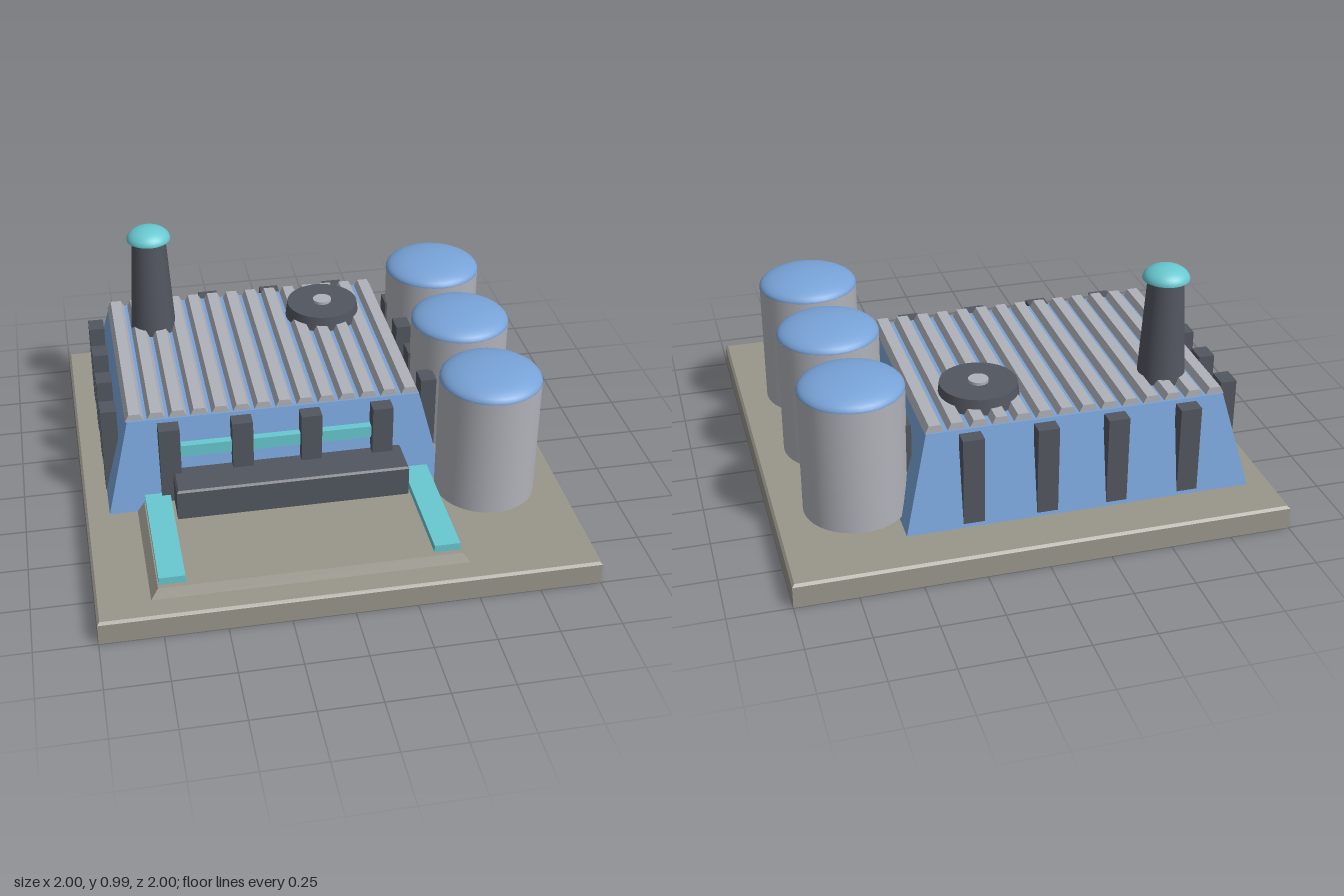
import * as THREE from 'three';

const mat = (name, color) => {
  const m = new THREE.MeshStandardMaterial({ color });
  m.name = name;
  return m;
};

// Block whose top face may differ from its bottom face: ranges are [x0, x1, z0, z1]
function taperedBlock(bottom, top, y0, y1) {
  const g = new THREE.BoxGeometry(1, 1, 1);
  const p = g.attributes.position;
  for (let i = 0; i < p.count; i++) {
    const up = p.getY(i) > 0;
    const r = up ? top : bottom;
    p.setXYZ(i, p.getX(i) > 0 ? r[1] : r[0], up ? y1 : y0, p.getZ(i) > 0 ? r[3] : r[2]);
  }
  g.computeVertexNormals();
  return g;
}

const block = (x0, x1, y0, y1, z0, z1) => taperedBlock([x0, x1, z0, z1], [x0, x1, z0, z1], y0, y1);

export function createModel() {
  const model = new THREE.Group();
  model.name = 'factory';
  const stone = mat('stone', 0x99968b);
  const blue = mat('blue', 0x78a3d8);
  const steel = mat('light steel', 0xb0b2b9);
  const dark = mat('dark steel', 0x52565f);
  const teal = mat('teal', 0x68c8d0);

  const add = (name, geometry, material, x = 0, y = 0, z = 0) => {
    const m = new THREE.Mesh(geometry, material);
    m.name = name;
    m.position.set(x, y, z);
    model.add(m);
    return m;
  };

  // Ground slab with a small chamfer on its upper rim
  add('baseSlab', block(-1, 1, 0, 0.09, -1, 1), stone);
  add('baseRim', taperedBlock([-1, 1, -1, 1], [-0.99, 0.99, -0.99, 0.99], 0.09, 0.1), stone);

  // Hall with sloping walls
  add('hall', taperedBlock([-0.9, 0.52, -0.8, 0.325], [-0.8, 0.42, -0.72, 0.25], 0.1, 0.495), blue);

  // Roof ridges
  const profile = new THREE.Shape([
    new THREE.Vector2(-0.039, 0), new THREE.Vector2(0.039, 0),
    new THREE.Vector2(0.023, 0.032), new THREE.Vector2(-0.023, 0.032),
  ]);
  const ridge = new THREE.ExtrudeGeometry(profile, { depth: 0.955, bevelEnabled: false });
  for (let i = 0; i < 14; i++) add('roofRidge', ridge, steel, -0.768 + i * 0.0885, 0.492, -0.712);

  // Upright buttresses on all four walls
  for (const x of [-0.637, -0.337, -0.05, 0.25]) {
    add('frontButtress', block(x - 0.043, x + 0.043, 0.1, 0.487, 0.265, 0.33), dark);
    add('backButtress', block(x - 0.043, x + 0.043, 0.1, 0.487, -0.797, -0.735), dark);
  }
  for (const z of [-0.58, -0.35, -0.125, 0.105]) {
    add('rightButtress', block(-0.902, -0.835, 0.1, 0.487, z - 0.043, z + 0.043), dark);
    add('leftButtress', block(0.455, 0.522, 0.1, 0.487, z - 0.043, z + 0.043), dark);
  }

  // Front window band, loading dock and forecourt
  add('windowBand', block(-0.6, 0.215, 0.335, 0.388, 0.24, 0.303), teal);
  add('dock', block(-0.63, 0.335, 0.13, 0.265, 0.25, 0.46), dark);
  add('dockTop', taperedBlock([-0.63, 0.335, 0.25, 0.46], [-0.622, 0.327, 0.25, 0.452], 0.265, 0.273), dark);
  add('forecourt', taperedBlock([-0.785, 0.485, 0.2, 0.9], [-0.755, 0.455, 0.2, 0.88], 0.1, 0.138), stone);
  add('rightGuideStrip', block(-0.75, -0.645, 0.135, 0.17, 0.28, 0.86), teal);
  add('leftGuideStrip', block(0.345, 0.45, 0.135, 0.17, 0.28, 0.86), teal);

  // Chimney with domed cap
  const dome = (r, h) => new THREE.SphereGeometry(r, 32, 10, 0, Math.PI * 2, 0, Math.PI / 2).scale(1, h / r, 1);
  add('chimney', new THREE.CylinderGeometry(0.073, 0.1, 0.45, 24), dark, -0.615, 0.71, -0.51);
  add('chimneyCap', dome(0.095, 0.055), teal, -0.615, 0.932, -0.51);
  add('chimneyCapUnderside', new THREE.CircleGeometry(0.095, 32).rotateX(Math.PI / 2), teal, -0.615, 0.932, -0.51);

  // Roof vent
  add('vent', new THREE.CylinderGeometry(0.157, 0.165, 0.065, 32), dark, 0.147, 0.53, -0.48);
  add('ventHub', new THREE.CylinderGeometry(0.041, 0.041, 0.03, 16), steel, 0.147, 0.56, -0.48);

  // Storage tanks
  for (const z of [-0.55, -0.065, 0.42]) {
    add('tank', new THREE.CylinderGeometry(0.209, 0.209, 0.53, 40), steel, 0.672, 0.385, z);
    add('tankDome', dome(0.21, 0.062), blue, 0.672, 0.648, z);
  }
  return model;
}
